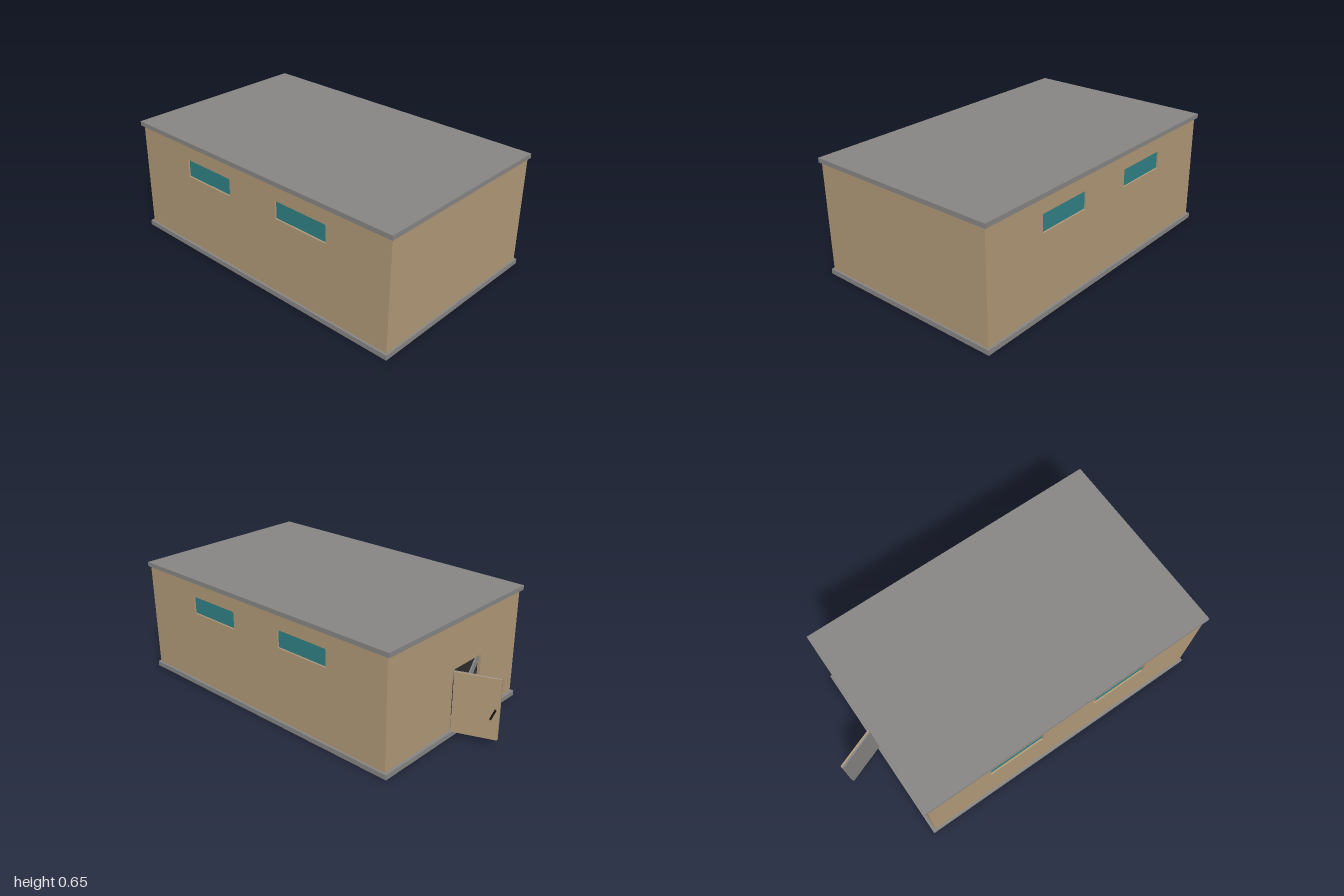
import * as THREE from 'three';

const mat = (name, color) => {
  const m = new THREE.MeshStandardMaterial({ color });
  m.name = name;
  return m;
};

export function createModel() {
  const model = new THREE.Group();
  model.name = 'storageBuilding';
  const tan = mat('tan wall', 0xaf9877);
  const gray = mat('concrete gray', 0x868584);
  const teal = mat('teal glass', 0x308085);
  const dark = mat('dark panel', 0x2c2c2c);
  const black = mat('black handle', 0x121212);

  const W = 0.545, FRONT = 0.99, BACK = -0.755, T = 0.025; // outer wall faces, thickness
  const Y0 = 0.028, Y1 = 0.63;
  const DX0 = -0.215, DX1 = 0.03, DY = 0.37; // doorway

  const add = (parent, name, geo, material, x = 0, y = 0, z = 0) => {
    const m = new THREE.Mesh(geo, material);
    m.name = name;
    m.position.set(x, y, z);
    parent.add(m);
    return m;
  };
  // Box given by its minimum and maximum corners
  const box = (parent, name, material, x0, x1, y0, y1, z0, z1) =>
    add(parent, name, new THREE.BoxGeometry(x1 - x0, y1 - y0, z1 - z0), material,
      (x0 + x1) / 2, (y0 + y1) / 2, (z0 + z1) / 2);
  const path = (pts, Type = THREE.Shape) => new Type(pts.map(([a, b]) => new THREE.Vector2(a, b)));
  const rect = (a0, a1, b0, b1, Type) => path([[a0, b0], [a1, b0], [a1, b1], [a0, b1]], Type);
  const extrude = (shape, depth) => new THREE.ExtrudeGeometry(shape, { depth, bevelEnabled: false });

  // Roof slab and open base ring
  box(model, 'roof', gray, -0.557, 0.557, Y1, 0.655, -0.772, 1.0);
  const ring = rect(-0.557, 0.557, -1.0, 0.772);
  ring.holes.push(rect(-0.522, 0.522, -0.965, 0.732, THREE.Path));
  add(model, 'baseRing', extrude(ring, Y0).rotateX(-Math.PI / 2), gray);

  // Long side walls with two window openings each
  const windows = [[0.28, 0.61], [-0.38, -0.05]];
  const WY0 = 0.447, WY1 = 0.545;
  for (const side of [1, -1]) {
    const wall = rect(BACK, FRONT, Y0, Y1);
    for (const [z0, z1] of windows) wall.holes.push(rect(z0, z1, WY0, WY1, THREE.Path));
    add(model, 'sideWall', extrude(wall, T).rotateY(-Math.PI / 2), tan, side > 0 ? W : -W + T);
    const cx = side * (W - T / 2);
    for (const [z0, z1] of windows)
      box(model, 'windowPane', teal, cx - 0.003, cx + 0.003, WY0, WY1, z0, z1);
  }

  // Front wall, and back wall with the doorway notch
  const inner = W - T;
  box(model, 'frontWall', tan, -inner, inner, Y0, Y1, FRONT - T, FRONT);
  const back = path([[-inner, Y0], [DX0, Y0], [DX0, DY], [DX1, DY], [DX1, Y0], [inner, Y0], [inner, Y1], [-inner, Y1]]);
  add(model, 'backWall', extrude(back, T), tan, 0, 0, BACK);

  // Braced inner gate filling the doorway
  const gate = new THREE.Group();
  gate.name = 'innerGate';
  model.add(gate);
  const zf = BACK + 0.008, zb = BACK + 0.018, cx = (DX0 + DX1) / 2, cy = (Y0 + DY) / 2;
  box(gate, 'gatePanel', dark, DX0, DX1, Y0, DY, zb, zb + 0.008);
  box(gate, 'gateBottomRail', gray, DX0, DX1, Y0, Y0 + 0.018, zf, zb);
  box(gate, 'gatePost', gray, DX1 - 0.014, DX1, Y0, DY, zf, zb);
  box(gate, 'gateMiddleRail', gray, DX0, cx, cy - 0.025, cy + 0.02, zf, zb);
  const w = DX1 - DX0, h = DY - Y0;
  for (const s of [1, -1]) {
    const brace = add(gate, 'gateBrace', new THREE.BoxGeometry(Math.hypot(w, h) - 0.035, 0.03, zb - zf),
      gray, cx, cy, (zf + zb) / 2);
    brace.rotation.z = s * Math.atan2(h, w);
  }

  // Door standing open, hinged beside the doorway
  const door = new THREE.Group();
  door.name = 'door';
  door.position.set(DX1 + 0.004, 0, BACK - 0.01);
  door.rotation.y = -THREE.MathUtils.degToRad(69);
  model.add(door);
  const L = 0.238;
  box(door, 'doorOuterFace', tan, -L, 0, Y0 + 0.003, DY, -0.01, 0);
  box(door, 'doorInnerFace', gray, -L, 0, Y0 + 0.003, DY, 0, 0.009);
  const handle = add(door, 'doorHandle', new THREE.BoxGeometry(0.01, 0.058, 0.012), black, -0.207, 0.175, -0.016);
  handle.rotation.z = 0.38;

  return model;
}
